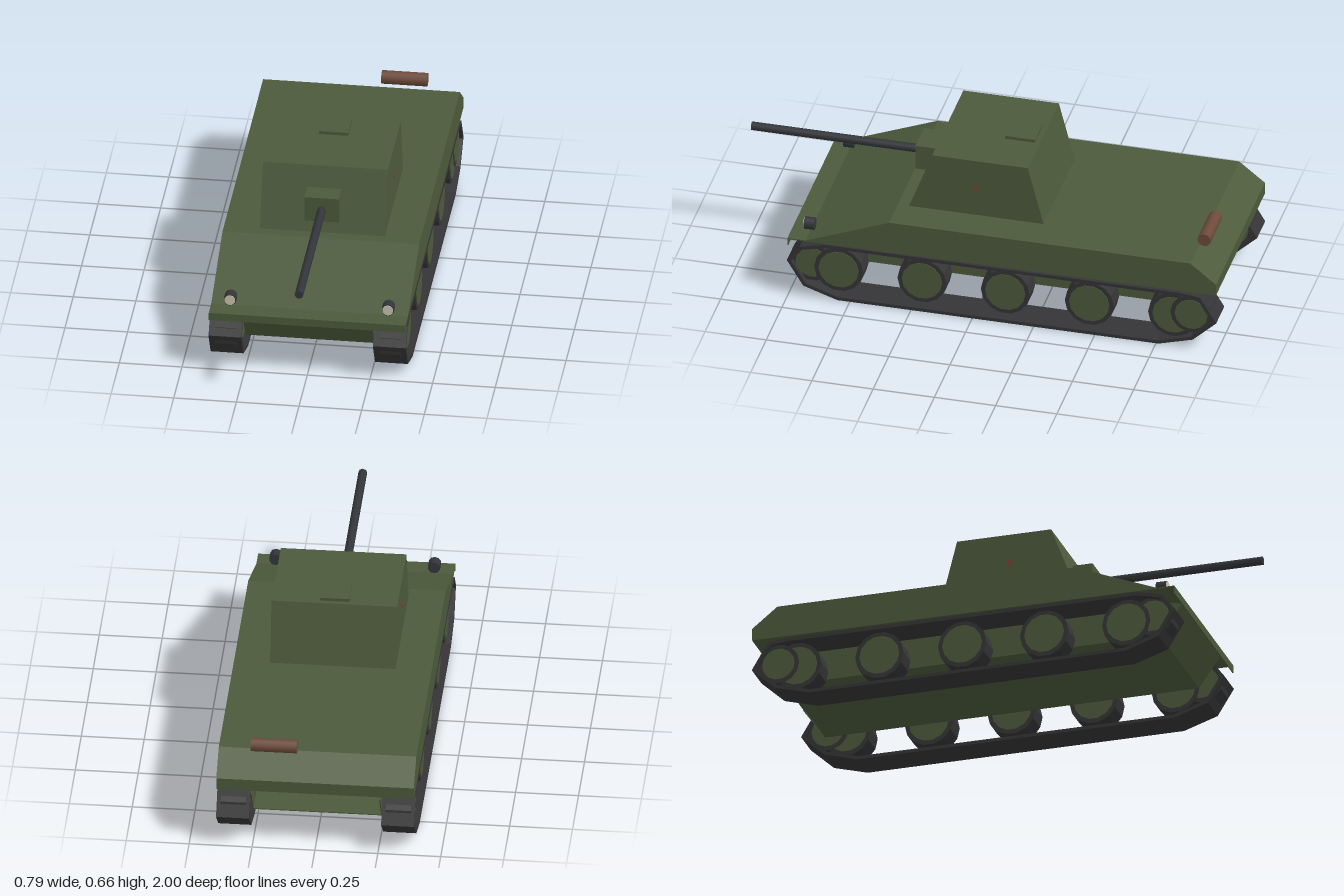
import * as THREE from 'three';

const material = (name, color, flatShading = true) => {
  const m = new THREE.MeshStandardMaterial({ color, flatShading });
  m.name = name;
  return m;
};

export function createModel() {
  const olive = material('olive paint', 0x4c5a3b);
  const rubber = material('track rubber', 0x353537);
  const steel = material('dark steel', 0x34353a, false);
  const wood = material('brown wood', 0x6c4a3a, false);
  const cream = material('lamp glass', 0xcdc5b0);
  const red = material('red marking', 0x8a3a34);
  const tank = new THREE.Group();
  tank.name = 'tank';

  const add = (name, geometry, mat, x = 0, y = 0, z = 0, parent = tank) => {
    const mesh = new THREE.Mesh(geometry, mat);
    mesh.name = name;
    mesh.position.set(x, y, z);
    parent.add(mesh);
    return mesh;
  };
  const vectors = (points) => points.map(([z, y]) => new THREE.Vector2(z, y));
  // Side profile of [z, y] points (clockwise, hole too), extruded across x and centred
  const profile = (points, width, hole) => {
    const shape = new THREE.Shape(vectors(points));
    if (hole) shape.holes.push(new THREE.Path(vectors(hole).reverse()));
    const g = new THREE.ExtrudeGeometry(shape, { depth: width, bevelEnabled: false });
    return g.rotateY(-Math.PI / 2).translate(width / 2, 0, 0);
  };
  const drumX = (r, width, sides) =>
    new THREE.CylinderGeometry(r, r, width, sides).rotateZ(Math.PI / 2);
  const drumZ = (r, length, sides) =>
    new THREE.CylinderGeometry(r, r, length, sides).rotateX(Math.PI / 2);

  // Upper hull with a thin nose plate and lip
  add('upperHull', profile([
    [0.34, 0.393], [0.68, 0.258], [0.755, 0.257], [0.755, 0.253], [-0.995, 0.26],
    [-0.995, 0.31], [-0.89, 0.393],
  ], 0.785), olive);
  add('noseLip', new THREE.BoxGeometry(0.785, 0.03, 0.004), olive, 0, 0.24, 0.753);

  // Lower hull: sloped front, floor and two walls, open at the rear
  add('hullFloor', profile([
    [0.745, 0.24], [0.655, 0.112], [-0.895, 0.112], [-0.895, 0.116], [0.652, 0.116], [0.74, 0.24],
  ], 0.514), olive);
  for (const side of [1, -1]) {
    add('hullWall', profile([
      [0.66, 0.256], [0.745, 0.24], [0.655, 0.112], [-0.895, 0.112], [-0.985, 0.24], [-0.92, 0.259],
    ], 0.004), olive, side * 0.256);
  }

  // Turret, hatch and gun
  add('turret', profile([
    [0.2, 0.643], [0.295, 0.39], [-0.255, 0.39], [-0.19, 0.643],
  ], 0.499), olive);
  add('hatch', new THREE.BoxGeometry(0.116, 0.016, 0.122), olive, 0, 0.648, -0.11);
  add('mantlet', new THREE.BoxGeometry(0.137, 0.105, 0.11), olive, 0, 0.507, 0.26);
  add('gunBarrel', drumZ(0.0175, 0.7, 8), steel, 0, 0.506, 0.65);

  // Log on the rear deck
  add('log', drumX(0.027, 0.183, 12), wood, 0.17, 0.426, -0.913);

  // Tracks, wheels, headlights and turret dots on both sides
  const outer = [
    [0.6, 0.25], [0.705, 0.225], [0.757, 0.155], [0.69, 0.046], [0.55, 0],
    [-0.76, 0], [-0.9, 0.04], [-0.996, 0.13], [-0.93, 0.24], [-0.85, 0.25],
  ];
  const inner = [
    [0.595, 0.236], [0.695, 0.213], [0.739, 0.154], [0.68, 0.058], [0.546, 0.014],
    [-0.757, 0.014], [-0.893, 0.053], [-0.977, 0.132], [-0.922, 0.227], [-0.85, 0.236],
  ];
  for (const side of [1, -1]) {
    const gear = new THREE.Group();
    gear.name = side > 0 ? 'leftRunningGear' : 'rightRunningGear';
    tank.add(gear);
    const x = side * 0.328;
    add('track', profile(outer, 0.131, inner), rubber, x, 0, 0, gear);
    const wheel = (name, z, y, r, width) => {
      add(name + 'Tyre', drumX(r, width, 14), rubber, x, y, z, gear);
      add(name + 'Disc', drumX(r - 0.018, width + 0.006, 14), olive, x, y, z, gear);
    };
    for (const z of [0.55, 0.21, -0.13, -0.473, -0.813]) wheel('roadWheel', z, 0.132, 0.1, 0.092);
    wheel('idler', 0.66, 0.147, 0.085, 0.085);
    wheel('sprocket', -0.89, 0.148, 0.085, 0.1);

    add('headlightBody', drumZ(0.025, 0.042, 10), steel, side * 0.315, 0.292, 0.682);
    add('headlightLens', drumZ(0.022, 0.006, 10), cream, side * 0.315, 0.292, 0.703);
    add('turretDot', drumX(0.011, 0.004, 8), red, side * 0.249, 0.52, 0.025);
  }
  return tank;
}
